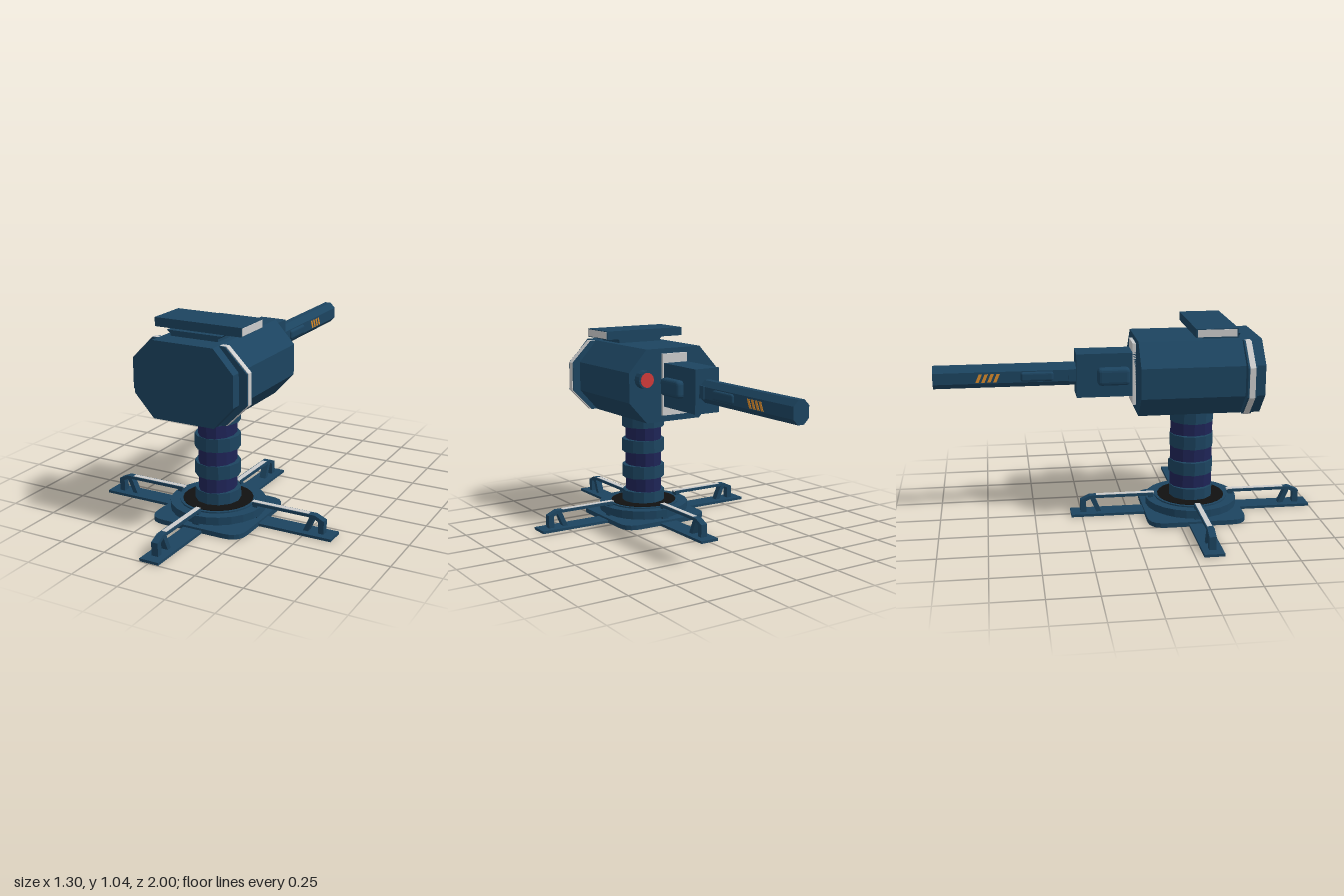
import * as THREE from 'three';
import { RoundedBoxGeometry } from 'three/addons/geometries/RoundedBoxGeometry.js';

const mat = (color) => new THREE.MeshStandardMaterial({ color, flatShading: true });
const CZ = 0.345; // column axis

export function createModel() {
  const model = new THREE.Group();
  const teal = mat(0x1c4460), navy = mat(0x1e2456), black = mat(0x111111);
  const grey = mat(0xcccccc), orange = mat(0xd98a2b), red = mat(0xd03a3a);

  const add = (name, geo, m, x = 0, y = 0, z = 0, parent = model) => {
    const mesh = new THREE.Mesh(geo, m);
    mesh.name = name;
    mesh.position.set(x, y, z);
    parent.add(mesh);
    return mesh;
  };
  // box given by its limits
  const box = (name, m, x0, x1, y0, y1, z0, z1, parent = model) =>
    add(name, new THREE.BoxGeometry(x1 - x0, y1 - y0, z1 - z0), m,
      (x0 + x1) / 2, (y0 + y1) / 2, (z0 + z1) / 2, parent);
  const shapeOf = (pts) => new THREE.Shape(pts.map(([x, y]) => new THREE.Vector2(x, y)));
  // outline in x and y, pushed from z0 to z1
  const prism = (name, m, pts, z0, z1, parent = model) =>
    add(name, new THREE.ExtrudeGeometry(shapeOf(pts), { depth: z1 - z0, bevelEnabled: false }),
      m, 0, 0, z0, parent);
  // rectangle with cut corners
  const octagon = (w, y0, y1, cx, cy) => [
    [w - cx, y0], [w, y0 + cy], [w, y1 - cy], [w - cx, y1],
    [cx - w, y1], [-w, y1 - cy], [-w, y0 + cy], [cx - w, y0]];
  const drum = (name, m, r, y0, y1, sides) =>
    add(name, new THREE.CylinderGeometry(r, r, y1 - y0, sides), m, 0, (y0 + y1) / 2, CZ);

  // Base plate with rounded corners
  const s = 0.26, r = 0.09;
  const plate = new THREE.Shape();
  plate.moveTo(s - r, -s).quadraticCurveTo(s, -s, s, r - s);
  plate.lineTo(s, s - r).quadraticCurveTo(s, s, s - r, s);
  plate.lineTo(r - s, s).quadraticCurveTo(-s, s, -s, s - r);
  plate.lineTo(-s, r - s).quadraticCurveTo(-s, -s, r - s, -s);
  const plateGeo = new THREE.ExtrudeGeometry(plate, { depth: 0.025, bevelEnabled: false, curveSegments: 5 });
  add('basePlate', plateGeo.rotateX(-Math.PI / 2), teal, 0, 0, CZ);
  drum('baseNeck', teal, 0.215, 0.025, 0.04, 24);
  drum('baseRing', teal, 0.245, 0.04, 0.08, 24);
  drum('baseStep', teal, 0.195, 0.08, 0.087, 24);
  drum('baseDisc', black, 0.18, 0.087, 0.09, 24);

  // Four legs around the column
  for (let i = 0; i < 4; i++) {
    const leg = new THREE.Group();
    leg.name = 'leg' + (i + 1);
    leg.position.z = CZ;
    leg.rotation.y = i * Math.PI / 2;
    model.add(leg);
    box('footPlate', teal, 0.22, 0.652, 0, 0.014, -0.052, 0.052, leg);
    prism('bar', teal, [[0.205, 0.09], [0.55, 0.09], [0.55, 0.105], [0.205, 0.105]], -0.018, 0.018, leg);
    prism('innerPost', teal, [[0.208, 0.02], [0.232, 0.02], [0.232, 0.092], [0.208, 0.092]], -0.018, 0.018, leg);
    prism('outerPost', teal, [[0.57, 0.01], [0.6, 0.01], [0.6, 0.082], [0.55, 0.105], [0.535, 0.092],
      [0.57, 0.075]], -0.018, 0.018, leg);
    prism('brace', teal, [[0.487, 0.01], [0.514, 0.01], [0.55, 0.092], [0.523, 0.092]], -0.018, 0.018, leg);
    box('barStrip', grey, 0.2, 0.515, 0.1, 0.107, -0.013, 0.013, leg);
  }

  // Column: wide rings with narrower sleeves between
  for (const [y0, y1] of [[0.085, 0.15], [0.225, 0.295], [0.37, 0.44], [0.51, 0.595]])
    drum('columnRing', teal, 0.117, y0, y1, 12);
  for (const y of [0.15, 0.295, 0.44])
    drum('columnSleeve', navy, 0.114, y, y + 0.075, 12).scale.x = 0.82;

  // Main housing and the collar near its front
  prism('housing', teal, octagon(0.27, 0.585, 0.972, 0.105, 0.115), 0.035, 0.67);
  prism('collar', teal, octagon(0.312, 0.587, 0.97, 0.115, 0.115), 0.568, 0.616);
  prism('collarStrip', grey, octagon(0.316, 0.586, 0.971, 0.115, 0.115), 0.577, 0.607);

  // Top shelf on a short flared neck
  prism('shelfNeck', teal, [[-0.13, 0.97], [0.13, 0.97], [0.13, 0.985], [0.15, 1.0], [-0.15, 1.0], [-0.13, 0.985]], 0.37, 0.56);
  box('shelf', teal, -0.237, 0.237, 1.0, 1.045, 0.315, 0.53);
  for (const side of [-1, 1])
    add('shelfEnd', new THREE.BoxGeometry(0.004, 0.037, 0.2), grey, side * 0.238, 1.0225, 0.4225);

  // Lens beside the barrel mount
  const tube = (rad, len) => new THREE.CylinderGeometry(rad, rad, len, 16).rotateX(Math.PI / 2);
  add('lensHousing', tube(0.048, 0.06), teal, 0.19, 0.82, 0.02);
  add('lens', tube(0.039, 0.006), red, 0.19, 0.82, -0.011);

  // Barrel mount
  box('mountPlate', grey, -0.075, 0.075, 0.62, 0.945, 0.018, 0.036);
  box('barrelMount', teal, -0.075, 0.07, 0.668, 0.897, -0.272, 0.036);

  // Barrel with side pods and slanted stripes
  const gun = new THREE.Group();
  gun.name = 'barrel';
  gun.position.x = -0.004;
  model.add(gun);
  prism('barrelTube', teal, octagon(0.045, 0.725, 0.84, 0.028, 0.028), -1, -0.27, gun);
  box('barrelCollar', teal, -0.05, 0.05, 0.75, 0.815, -0.31, -0.27, gun);
  for (const side of [-1, 1]) {
    add('mountPod', new RoundedBoxGeometry(0.06, 0.092, 0.168, 2, 0.02), teal, side * 0.083, 0.78, -0.082, gun);
    add('barrelPod', new RoundedBoxGeometry(0.03, 0.05, 0.168, 2, 0.012), teal, side * 0.043, 0.782, -0.472, gun);
    for (let i = 0; i < 4; i++) {
      const z = -0.66 - i * 0.03;
      const geo = new THREE.ExtrudeGeometry(
        shapeOf([[z, 0.802], [z - 0.017, 0.802], [z - 0.036, 0.758], [z - 0.019, 0.758]]),
        { depth: 0.004, bevelEnabled: false });
      // outline x becomes z
      add('stripe', geo.rotateY(-Math.PI / 2), orange, side * 0.045 + 0.002, 0, 0, gun);
    }
  }
  return model;
}
